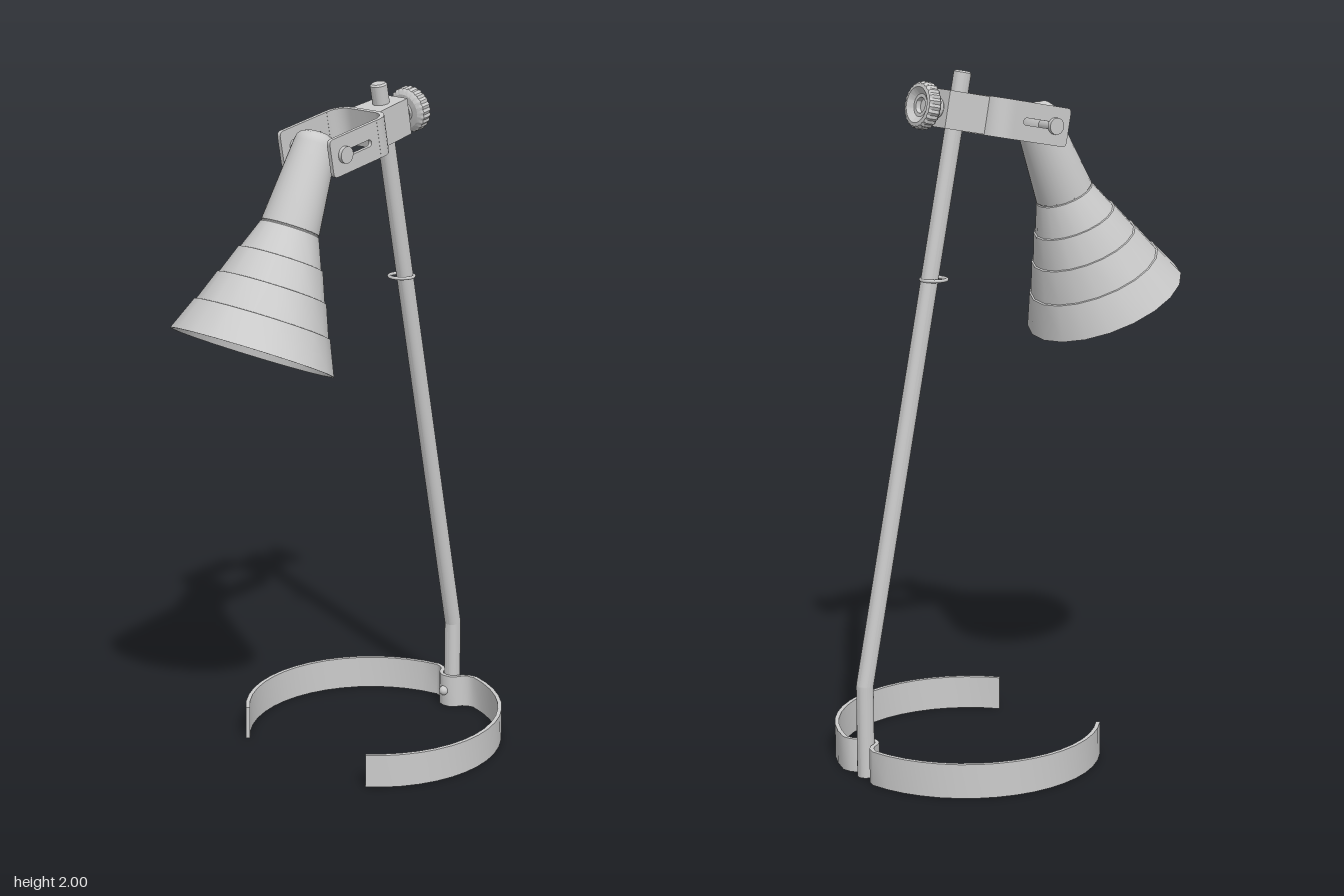
import * as THREE from 'three';
import { toCreasedNormals } from 'three/addons/utils/BufferGeometryUtils.js';

const grey = new THREE.MeshStandardMaterial({ color: 0xcccccc, side: THREE.DoubleSide });
const V2 = (x, y) => new THREE.Vector2(x, y);

function add(parent, name, geometry, x = 0, y = 0, z = 0) {
  const mesh = new THREE.Mesh(geometry, grey);
  mesh.name = name;
  mesh.position.set(x, y, z);
  parent.add(mesh);
  return mesh;
}

const lathe = (pts, sides) =>
  toCreasedNormals(new THREE.LatheGeometry(pts.map(p => V2(...p)), sides), 0.5);

// Outline in the x-z plane raised to a height, starting at y = 0
function slab(points, height) {
  const geo = new THREE.ExtrudeGeometry(new THREE.Shape(points), { depth: height, bevelEnabled: false });
  geo.rotateX(Math.PI / 2).translate(0, height, 0);
  return toCreasedNormals(geo, 0.6);
}

// Bent metal strip following a path in the x-z plane
function strip(path, thickness, height) {
  const side = sign => path.map((p, i) => {
    const a = path[Math.max(i - 1, 0)], b = path[Math.min(i + 1, path.length - 1)];
    const d = b.clone().sub(a).normalize().multiplyScalar(sign * thickness / 2);
    return V2(p.x - d.y, p.y + d.x);
  });
  return slab([...side(1), ...side(-1).reverse()], height);
}

// Right-to-left symmetric path from its +x half, which ends on x = 0
const mirrored = half => [...half, ...half.slice(0, -1).reverse().map(p => V2(-p.x, p.y))];

function makeBase(lamp) {
  const half = [];
  for (let i = 0; i <= 16; i++) {
    const a = THREE.MathUtils.degToRad(49.7 - i * 8);
    half.push(V2(0.384 * Math.cos(a), -0.165 + 0.384 * Math.sin(a)));
  }
  // the strip tucks in around the front of the pole
  half.push(V2(0.055, -0.535), V2(0.04, -0.522), V2(0.031, -0.505), V2(0.018, -0.492), V2(0, -0.488));
  add(lamp, 'baseStrip', strip(mirrored(half), 0.012, 0.1));
  add(lamp, 'baseScrew', new THREE.SphereGeometry(0.015, 12, 8), 0, 0.05, -0.482);
}

function makePole(lamp) {
  const r = 0.025, bend = new THREE.Vector3(0, 0.27, -0.52), top = new THREE.Vector3(0, 1.995, -0.172);
  // hollow foot of the pole
  add(lamp, 'poleFoot', lathe([[0, 0.05], [0.017, 0.05], [0.017, 0], [r, 0], [r, 0.27]], 20), 0, 0, -0.52);
  add(lamp, 'poleBend', new THREE.SphereGeometry(r, 20, 12), bend.x, bend.y, bend.z);
  const dir = top.clone().sub(bend), len = dir.length();
  const rod = add(lamp, 'poleRod', lathe([[r, 0], [r, len - 0.005], [r - 0.005, len], [0, len]], 20), ...bend.toArray());
  rod.quaternion.setFromUnitVectors(new THREE.Vector3(0, 1, 0), dir.normalize());
  // wire loop guiding the cable
  const loop = add(lamp, 'cableLoop', new THREE.TorusGeometry(0.037, 0.005, 8, 24), 0, 1.418, -0.274);
  loop.rotation.x = Math.PI / 2;
}

function makeBracket(lamp) {
  const g = new THREE.Group();
  g.name = 'bracket';
  g.position.set(0, 1.835, 0.07);
  g.rotation.x = 0.187;
  lamp.add(g);
  const h = 0.11;

  // side arm: rounded front end and a slot, drawn with x running backwards
  const arm = new THREE.Shape();
  arm.moveTo(0.14, -h / 2);
  arm.lineTo(0.14, h / 2);
  arm.lineTo(-0.035, h / 2);
  arm.quadraticCurveTo(-0.05, h / 2, -0.05, h / 2 - 0.015);
  arm.lineTo(-0.05, -h / 2 + 0.015);
  arm.quadraticCurveTo(-0.05, -h / 2, -0.035, -h / 2);
  const slot = new THREE.Path();
  slot.moveTo(0, -0.01);
  slot.lineTo(0.1, -0.01);
  slot.absarc(0.1, 0, 0.01, -Math.PI / 2, Math.PI / 2, false);
  slot.lineTo(0, 0.01);
  slot.absarc(0, 0, 0.01, Math.PI / 2, Math.PI * 1.5, false);
  arm.holes.push(slot);
  const armGeo = new THREE.ExtrudeGeometry(arm, { depth: 0.012, bevelEnabled: false, curveSegments: 8 });
  armGeo.translate(0, 0, -0.006).rotateY(Math.PI / 2);
  for (const s of [-1, 1]) {
    add(g, 'bracketArm', armGeo, s * 0.098, 0, 0);
    const head = add(g, 'pivotHead', new THREE.CylinderGeometry(0.024, 0.024, 0.012, 20), s * 0.109, 0, 0);
    head.rotation.z = Math.PI / 2;
  }
  const bolt = add(g, 'pivotBolt', new THREE.CylinderGeometry(0.02, 0.02, 0.2, 16));
  bolt.rotation.z = Math.PI / 2;

  // curved back of the fork
  const half = [V2(0.098, -0.139)];
  for (let i = 0; i <= 6; i++) {
    const a = i * Math.PI / 12;
    half.push(V2(0.05 + 0.048 * Math.cos(a), -0.149 - 0.048 * Math.sin(a)));
  }
  half.push(V2(0, -0.197));
  add(g, 'bracketBack', strip(mirrored(half), 0.013, h), 0, -h / 2, 0);

  // tapered clamp block gripping the pole
  add(g, 'clampBlock', slab([V2(0.056, -0.195), V2(0.045, -0.33), V2(-0.045, -0.33), V2(-0.056, -0.195)], 0.106), 0, -0.053, 0);

  // threaded screw and knurled, dished knob
  const screw = add(g, 'knobScrew', new THREE.CylinderGeometry(0.024, 0.024, 0.05, 16), 0, 0, -0.345);
  screw.rotation.x = Math.PI / 2;
  for (let i = 0; i < 3; i++)
    add(g, 'screwThread', new THREE.TorusGeometry(0.025, 0.005, 6, 20), 0, 0, -0.335 - i * 0.011);
  const profile = [[0, 0], [0.05, 0], [0.061, 0.006], [0.066, 0.012], [0.066, 0.037], [0.061, 0.045],
    [0.05, 0.047], [0.032, 0.034], [0.022, 0.034], [0.02, 0.02], [0, 0.02]];
  const knob = new THREE.LatheGeometry(profile.map(p => V2(...p)), 96);
  const pos = knob.attributes.position;
  for (let i = 0; i < pos.count; i++) {
    const x = pos.getX(i), z = pos.getZ(i);
    const k = Math.hypot(x, z) > 0.055 ? 0.98 + 0.025 * Math.cos(24 * Math.atan2(x, z)) : 1;
    pos.setX(i, x * k);
    pos.setZ(i, z * k);
  }
  add(g, 'clampKnob', toCreasedNormals(knob, 0.5), 0, 0, -0.357).rotation.x = -Math.PI / 2;
}

function makeShade(lamp) {
  const g = new THREE.Group();
  g.name = 'shade';
  g.position.set(0, 1.299, 0.33);
  g.rotation.x = -0.426;
  lamp.add(g);
  const cone = s => 0.2395 - 0.428 * s;

  // stepped cone, then the neck with a softly rounded cap
  const outer = [[0.234, 0], [cone(0), 0]];
  for (const s of [0.097, 0.188, 0.272]) outer.push([cone(s) + 0.001, s], [cone(s) - 0.004, s + 0.001]);
  outer.push([0.086, 0.358], [0.083, 0.36], [0.083, 0.363], [0.085, 0.365]);
  add(g, 'shadeCone', lathe(outer, 20));
  add(g, 'shadeNeck', lathe([[0.085, 0.364], [0.062, 0.605], [0.059, 0.62], [0.05, 0.632], [0.03, 0.64], [0, 0.643]], 32));

  // inner wall, ledge and reflector
  add(g, 'reflector', lathe([[0.234, 0], [0.213, 0.045], [0.18, 0.045], [0.177, 0.055], [0.1, 0.26], [0, 0.28]], 20));
  add(g, 'bulb', new THREE.SphereGeometry(0.125, 28, 18), 0, 0.158, 0);
}

export function createModel() {
  const lamp = new THREE.Group();
  lamp.name = 'deskLamp';
  makeBase(lamp);
  makePole(lamp);
  makeBracket(lamp);
  makeShade(lamp);
  return lamp;
}
